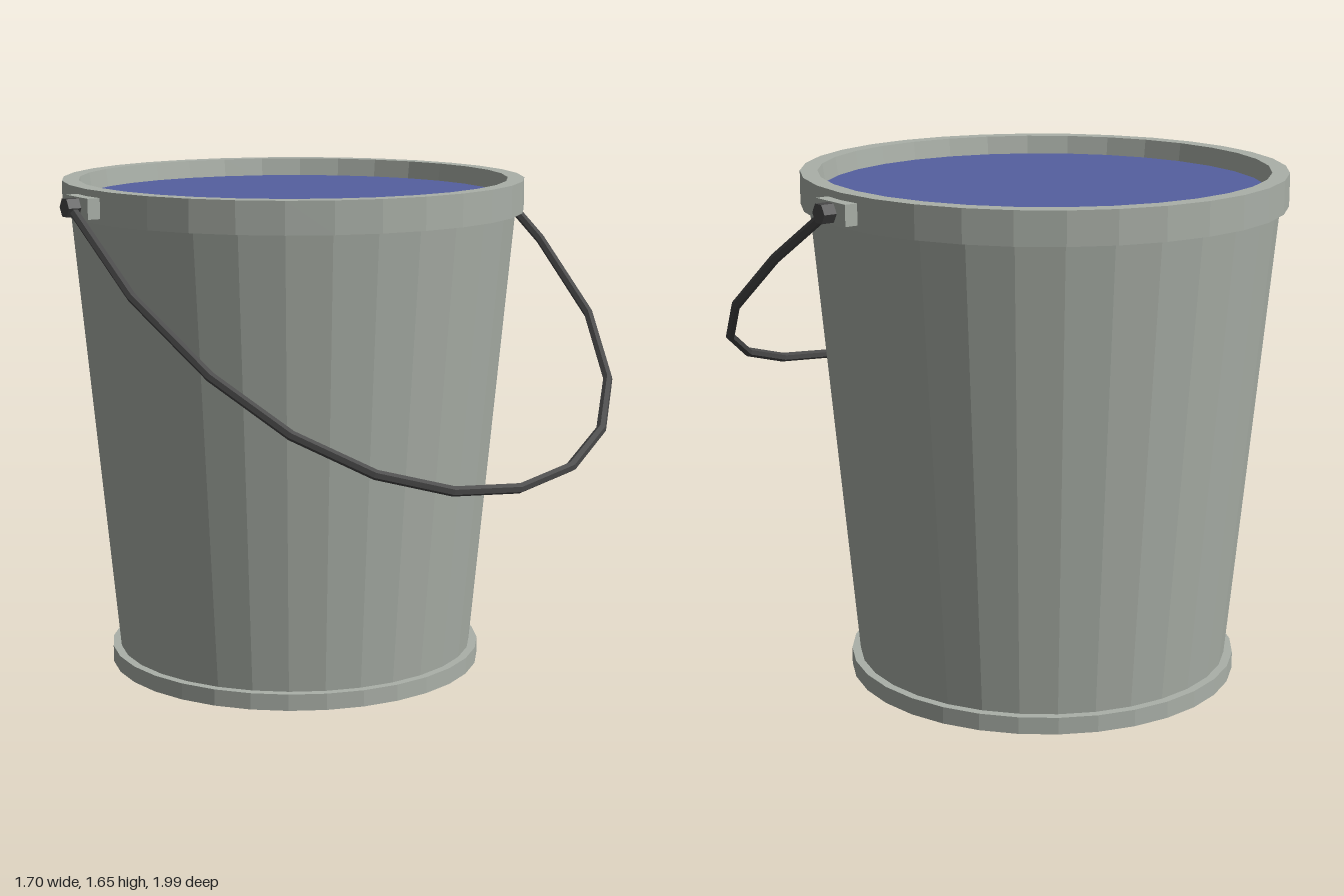
import * as THREE from 'three';

const CENTER_Z = -0.23; // axis of the pail; the handle swings out in front
const PIVOT_Y = 1.6;
const SIDES = 32;

const material = (color) =>
  new THREE.MeshStandardMaterial({ color, flatShading: true, side: THREE.DoubleSide });
const metal = material(0xaab0a8);
const iron = material(0x484848);
const water = material(0x5560a0);

function add(parent, name, geometry, mat) {
  const mesh = new THREE.Mesh(geometry, mat);
  mesh.name = name;
  parent.add(mesh);
  return mesh;
}

function lathe(profile) {
  return new THREE.LatheGeometry(profile.map(([r, y]) => new THREE.Vector2(r, y)), SIDES);
}

// Straight segments joined at mitred corners
class Polyline extends THREE.Curve {
  constructor(points) {
    super();
    this.points = points;
  }
  getPoint(t, target = new THREE.Vector3()) {
    const s = t * (this.points.length - 1);
    const i = Math.min(Math.floor(s), this.points.length - 2);
    return target.lerpVectors(this.points[i], this.points[i + 1], s - i);
  }
  getPointAt(t, target) {
    return this.getPoint(t, target);
  }
}

export function createModel() {
  const model = new THREE.Group();
  model.name = 'bucket';

  const pail = new THREE.Group();
  pail.name = 'pail';
  pail.position.z = CENTER_Z;
  model.add(pail);

  // Foot ring with a recessed underside
  add(pail, 'foot', lathe([[0, 0.05], [0.57, 0.05], [0.57, 0], [0.633, 0], [0.633, 0.055], [0.6, 0.055]]), metal);

  // Tapered wall
  add(pail, 'wall', lathe([[0.605, 0.055], [0.743, 1.55]]), metal);

  // Thick rim, with the inner wall down to the water
  add(pail, 'rim', lathe([[0.74, 1.55], [0.77, 1.55], [0.77, 1.655], [0.715, 1.655], [0.704, 1.58]]), metal);

  // Water surface
  const surface = add(pail, 'water', new THREE.CircleGeometry(0.706, SIDES), water);
  surface.rotation.x = -Math.PI / 2;
  surface.position.y = 1.595;

  // Lug and hexagonal bolt on each side
  for (const [side, label] of [[1, 'left'], [-1, 'right']]) {
    const lug = add(pail, label + 'Lug', new THREE.BoxGeometry(0.07, 0.066, 0.155), metal);
    lug.position.set(side * 0.77, PIVOT_Y, 0);

    const bolt = add(pail, label + 'Bolt', new THREE.CylinderGeometry(0.033, 0.033, 0.046, 6), iron);
    bolt.rotation.z = Math.PI / 2;
    bolt.position.set(side * 0.825, PIVOT_Y, 0);
  }

  // Bent wire handle, lying in a plane that leans forward from the pivots
  const bends = [
    [-0.825, 1.6], [-0.81, 1.36], [-0.72, 1.155], [-0.585, 1.005], [-0.4, 0.897],
    [-0.185, 0.838], [0.04, 0.823], [0.27, 0.852], [0.48, 0.925], [0.652, 1.04],
    [0.78, 1.208], [0.83, 1.42], [0.82, 1.6],
  ];
  const path = new Polyline(
    bends.map(([x, y]) => new THREE.Vector3(x, y, CENTER_Z + (PIVOT_Y - y) * 1.555))
  );
  add(model, 'handle', new THREE.TubeGeometry(path, bends.length - 1, 0.016, 6), iron);

  return model;
}
